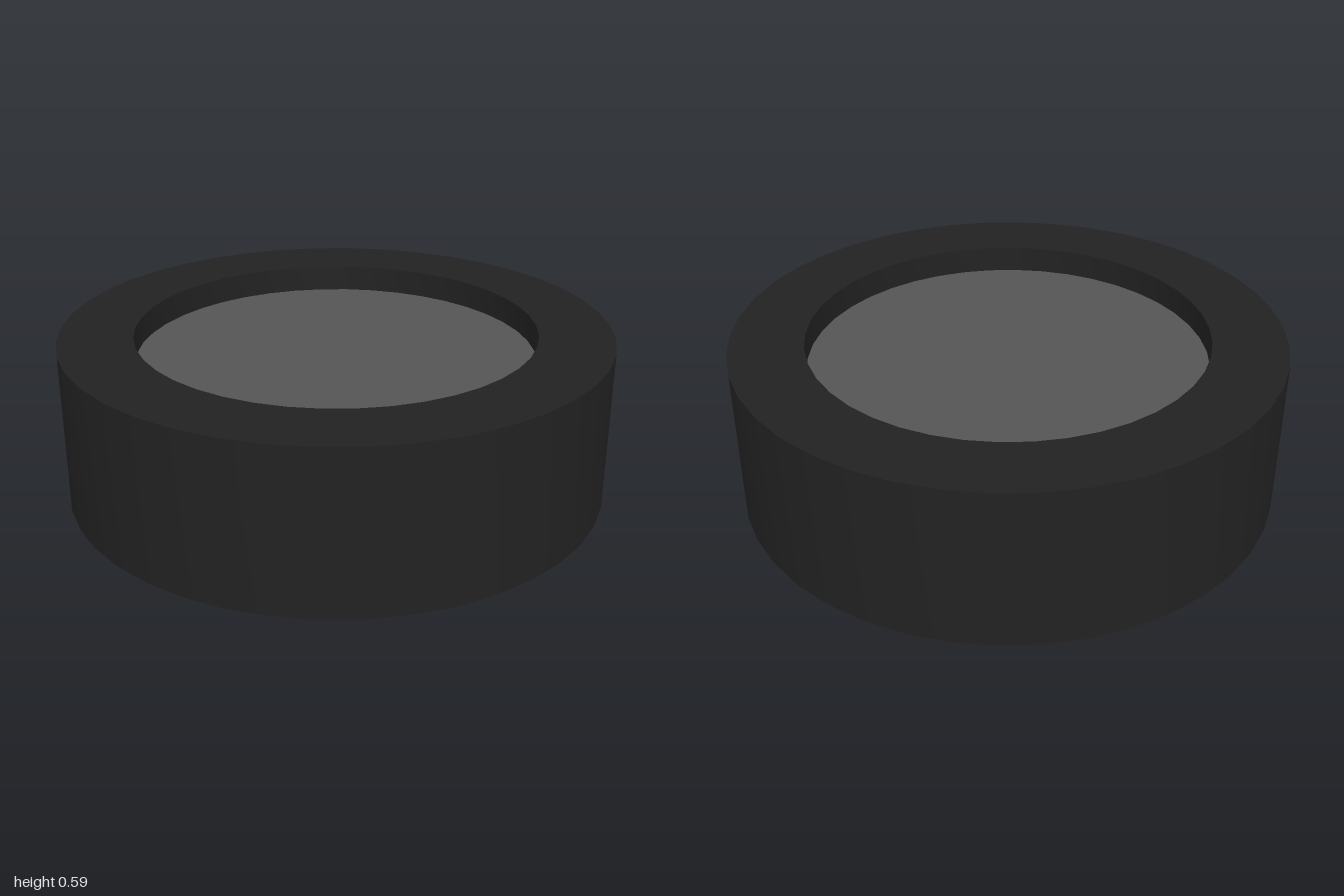
import * as THREE from 'three';
import { toCreasedNormals } from 'three/addons/utils/BufferGeometryUtils.js';

const SIDES = 42;
const HEIGHT = 0.59;
const INNER_RADIUS = 0.73;
const PLATE_Y = 0.49;

export function createModel() {
  const model = new THREE.Group();
  model.name = 'roundDish';

  // Cup-shaped body: closed base, outer wall, flat rim and recess wall
  const profile = [
    [0, 0], [1, 0], [1, HEIGHT], [INNER_RADIUS, HEIGHT], [INNER_RADIUS, PLATE_Y],
  ].map(([r, y]) => new THREE.Vector2(r, y));
  const bodyGeometry = toCreasedNormals(
    new THREE.LatheGeometry(profile, SIDES, Math.PI / 2), Math.PI / 6);
  const body = new THREE.Mesh(
    bodyGeometry, new THREE.MeshStandardMaterial({ color: 0x222222 }));
  body.name = 'body';

  // Lighter plate forming the floor of the recess
  const plate = new THREE.Mesh(
    new THREE.CircleGeometry(INNER_RADIUS, SIDES).rotateX(-Math.PI / 2),
    new THREE.MeshStandardMaterial({ color: 0x555555 }));
  plate.name = 'insetPlate';
  plate.position.y = PLATE_Y;

  model.add(body, plate);
  return model;
}
